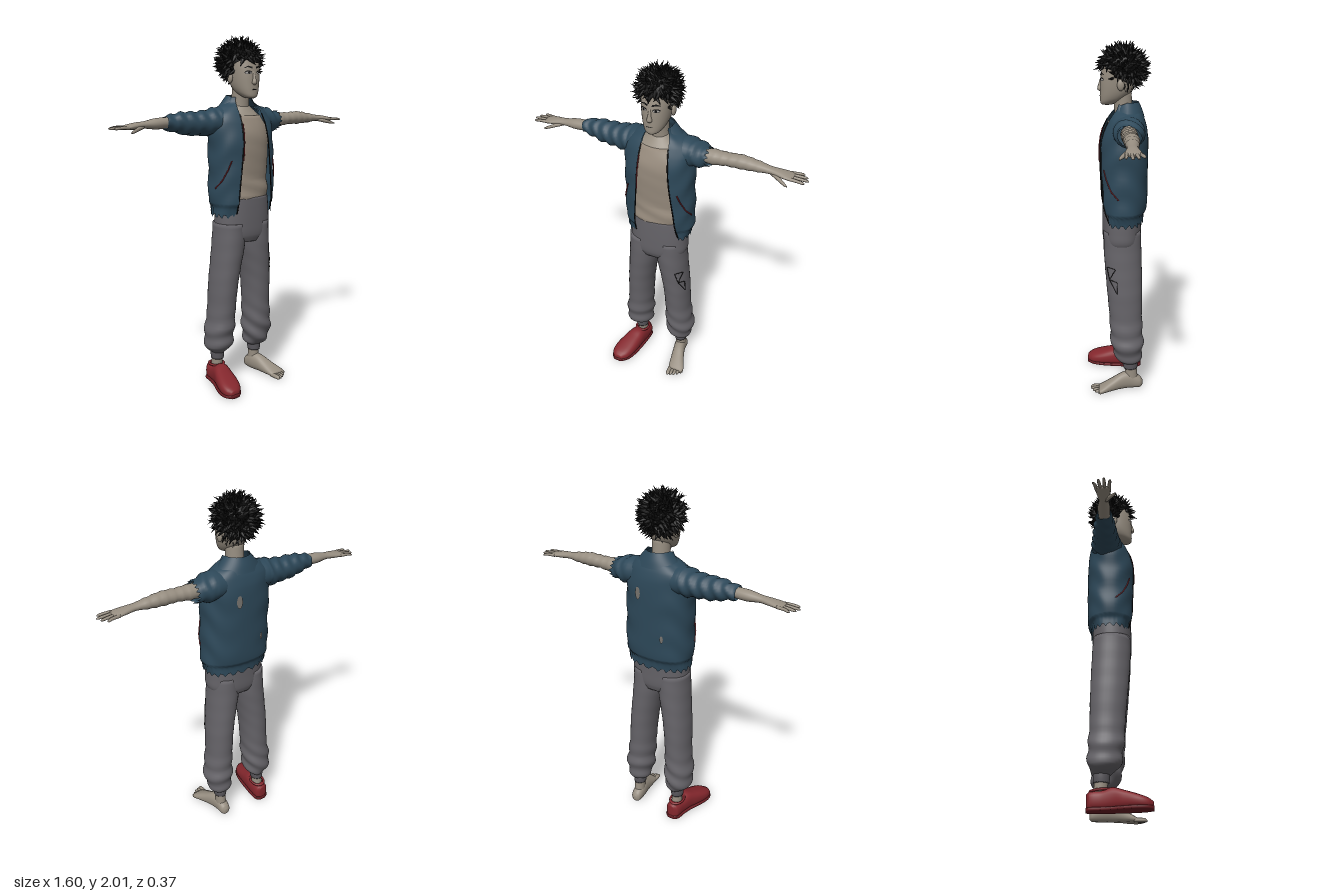
import * as THREE from 'three';
import { mergeGeometries } from 'three/addons/utils/BufferGeometryUtils.js';

const mat = (name, color, side = THREE.FrontSide) => Object.assign(new THREE.MeshStandardMaterial({ color, side }), { name });
const M = {
  skin: mat('skin', 0x978e81), shirt: mat('shirt beige', 0x978b7d), jacket: mat('jacket blue', 0x2d4859, THREE.DoubleSide),
  pants: mat('trouser grey', 0x656368), cuff: mat('cuff grey', 0x59575c), red: mat('shoe red', 0x84272d, THREE.DoubleSide),
  sole: mat('sole red', 0x6a1d23), black: mat('hair black', 0x0d0d0d, THREE.DoubleSide),
  hole: mat('worn cloth', 0x77736e, THREE.DoubleSide), eye: mat('eye white', 0xa8a5a2, THREE.DoubleSide),
};
const TAU = Math.PI * 2;
const sp = (v, p) => Math.sign(v) * Math.abs(v) ** (2 / p);

// Smoothly refine sections [t, centre1, centre2, radius1, radius2, ...]
function refine(rows, steps = 5) {
  rows = [...rows].sort((a, b) => a[0] - b[0]);
  const slope = (i, k) => {
    const a = rows[Math.max(i - 1, 0)], b = rows[Math.min(i + 1, rows.length - 1)];
    return (b[k] - a[k]) / (b[0] - a[0]);
  };
  const out = [];
  for (let i = 0; i < rows.length - 1; i++) {
    const a = rows[i], b = rows[i + 1], h = b[0] - a[0];
    for (let s = 0; s < steps; s++) {
      const u = s / steps, u2 = u * u, u3 = u2 * u;
      out.push(a.map((v, k) => k === 0 ? v + h * u : (2 * u3 - 3 * u2 + 1) * v + (u3 - 2 * u2 + u) * h * slope(i, k)
        + (3 * u2 - 2 * u3) * b[k] + (u3 - u2) * h * slope(i + 1, k)));
    }
  }
  out.push([...rows[rows.length - 1]]);
  return out;
}
function lookup(dense, t) {
  let i = 0;
  while (i < dense.length - 2 && dense[i + 1][0] < t) i++;
  const a = dense[i], b = dense[i + 1], u = THREE.MathUtils.clamp((t - a[0]) / (b[0] - a[0]), 0, 1);
  return a.map((v, k) => v + (b[k] - v) * u);
}
function ringPoint(r, th, p, axis = 'y', off = 0) {
  const s = sp(Math.sin(th), p), c = sp(Math.cos(th), p);
  const r1 = Math.max(r[3] + off, 0.001), r2 = Math.max(r[4] + off, 0.001);
  if (axis === 'y') return new THREE.Vector3(r[1] + r1 * s, r[0], r[2] + r2 * c);
  if (axis === 'x') return new THREE.Vector3(r[0], r[1] + r1 * c, r[2] + r2 * s);
  return new THREE.Vector3(r[1] - r1 * s, r[2] + r2 * c, r[0]);
}
const edgeAngle = (x, r, p) => Math.asin(Math.min(1, Math.abs(x - r[1]) / r[3]) ** (p / 2));

// Skin a surface over the sections; open ones leave a gap at the front between columns 5 and 6
function loft(name, material, dense, { axis = 'y', n = 28, p = 2, open = false, caps = !open, fold = null, tweak = null } = {}) {
  const pos = [], idx = [], w = open ? n + 1 : n;
  dense.forEach((r, i) => {
    const a0 = open ? edgeAngle(r[5], r, p) : 0, a1 = open ? TAU - edgeAngle(r[6], r, p) : TAU;
    for (let j = 0; j < w; j++) {
      const th = a0 + (a1 - a0) * j / n;
      const v = ringPoint(r, th, p, axis, fold ? fold(r[0], th) : 0);
      if (tweak) tweak(v, th, i / (dense.length - 1), j);
      pos.push(v.x, v.y, v.z);
    }
  });
  for (let i = 0; i < dense.length - 1; i++) for (let j = 0; j < n; j++) {
    const a = i * w + j, b = i * w + (j + 1) % w;
    idx.push(a, b, a + w, b, b + w, a + w);
  }
  if (caps) for (const i of [0, dense.length - 1]) {
    const c = pos.length / 3, r = dense[i], o = ringPoint([r[0], r[1], r[2], 0, 0], 0, 2, axis, 0);
    pos.push(o.x, o.y, o.z);
    for (let j = 0; j < n; j++) {
      const a = i * w + j, b = i * w + (j + 1) % w;
      i ? idx.push(c, a, b) : idx.push(c, b, a);
    }
  }
  const g = new THREE.BufferGeometry();
  g.setAttribute('position', new THREE.Float32BufferAttribute(pos, 3));
  g.setIndex(idx);
  g.computeVertexNormals();
  return named(name, g, material);
}
function named(name, g, material) {
  const m = new THREE.Mesh(g, material);
  m.name = name;
  return m;
}
// Thin plate laid on the front or back of an upright loft
function patch(name, material, dense, p, pts, side = 1, off = 0.004) {
  const g = new THREE.ShapeGeometry(new THREE.Shape(pts.map(q => new THREE.Vector2(...q)))), a = g.attributes.position;
  for (let i = 0; i < a.count; i++) {
    const r = lookup(dense, a.getY(i)), x = Math.min(1, Math.abs((a.getX(i) - r[1]) / r[3]));
    a.setZ(i, r[2] + side * (r[4] * (1 - x ** p) ** (1 / p) + off));
  }
  g.computeVertexNormals();
  return named(name, g, material);
}
const oval = (x, y, rx, ry, n = 12) => Array.from({ length: n }, (_, i) => [x + rx * Math.cos(i / n * TAU), y + ry * Math.sin(i / n * TAU)]);
const line = (name, material, pts, r = 0.003, closed = false) =>
  named(name, new THREE.TubeGeometry(new THREE.CatmullRomCurve3(pts, closed, 'catmullrom', 0), pts.length * 8, r, 5, closed), material);
function ball(name, material, pos, scale) {
  const m = named(name, new THREE.SphereGeometry(1, 18, 12), material);
  m.position.set(...pos);
  m.scale.set(...scale);
  return m;
}

function buildHead() {
  const g = new THREE.Group();
  g.name = 'head';
  const head = refine([[1.665, 0, 0.05, 0.02, 0.028], [1.675, 0, 0.043, 0.038, 0.043], [1.7, 0, 0.02, 0.057, 0.068], [1.74, 0, 0, 0.071, 0.088],
    [1.79, 0, -0.01, 0.079, 0.097], [1.84, 0, -0.017, 0.083, 0.098], [1.9, 0, -0.025, 0.08, 0.088], [1.945, 0, -0.03, 0.05, 0.06], [1.96, 0, -0.03, 0.02, 0.02]]);
  g.add(loft('face', M.skin, head, { p: 2.2, n: 32 }));
  g.add(loft('neck', M.skin, refine([[1.55, 0, -0.045, 0.062, 0.055], [1.62, 0, -0.04, 0.05, 0.05], [1.74, 0, -0.03, 0.05, 0.052]])));
  g.add(loft('nose', M.skin, refine([[1.736, 0, 0.085, 0.006, 0.006], [1.746, 0, 0.089, 0.015, 0.014], [1.77, 0, 0.086, 0.01, 0.013], [1.815, 0, 0.077, 0.007, 0.007]]), { n: 12 }));
  for (const s of [-1, 1]) {
    g.add(ball('ear', M.skin, [s * 0.083, 1.775, -0.022], [0.012, 0.03, 0.02]));
    g.add(patch('eyeOutline', M.black, head, 2.2, oval(s * 0.034, 1.803, 0.019, 0.01), 1, 0.002));
    g.add(patch('eyeWhite', M.eye, head, 2.2, oval(s * 0.034, 1.8015, 0.016, 0.006), 1, 0.0035));
    g.add(patch('iris', M.black, head, 2.2, oval(s * 0.033, 1.802, 0.006, 0.006), 1, 0.005));
    g.add(patch('eyebrow', M.black, head, 2.2, [[s * 0.012, 1.823], [s * 0.035, 1.829], [s * 0.058, 1.825], [s * 0.035, 1.838], [s * 0.013, 1.833]]));
  }
  g.add(patch('mouth', M.black, head, 2.2, oval(0, 1.712, 0.02, 0.0018), 1, 0.003));
  return g;
}

// Skull cap plus a seeded spread of curled tufts
function buildHair() {
  const g = new THREE.Group();
  g.name = 'hair';
  const cap = named('hairCap', new THREE.SphereGeometry(1, 28, 18, 0, TAU, 0, Math.PI * 0.62).rotateX(-0.55), M.black);
  cap.scale.set(0.1, 0.107, 0.115);
  cap.position.set(-0.004, 1.86, -0.035);
  g.add(cap);
  let seed = 7;
  const rnd = () => (seed = (seed * 16807) % 2147483647) / 2147483647;
  const tufts = [], up = new THREE.Vector3(0, 1, 0), count = 420;
  for (let i = 0; i < count; i++) {
    const y = 1 - 2 * (i + 0.5) / count, a = i * 2.39996, q = Math.sqrt(1 - y * y);
    const d = new THREE.Vector3(q * Math.cos(a), y, q * Math.sin(a));
    const at = new THREE.Vector3(d.x * 0.098 - 0.006, 1.86 + d.y * 0.1, -0.035 + d.z * 0.113);
    const tone = [rnd(), rnd(), rnd(), rnd()];
    if (at.y < 1.765 && at.z > -0.06 || at.z > 0.015 && at.y < 1.865 || at.z > -0.03 && at.y < 1.8) continue;
    const h = 0.05 + 0.022 * tone[0], bend = (tone[1] < 0.5 ? -1 : 1) * 9;
    const c = new THREE.ConeGeometry(0.017, h, 6, 4), v = c.attributes.position;
    for (let k = 0; k < v.count; k++) v.setX(k, v.getX(k) + bend * (v.getY(k) + h / 2) ** 2 * 0.7);
    d.x += (tone[2] - 0.5) * 0.9;
    d.z += (tone[3] - 0.5) * 0.9;
    if (at.z > 0.02 && at.y < 1.92) d.y -= 0.7;
    c.applyQuaternion(new THREE.Quaternion().setFromUnitVectors(up, d.normalize()));
    c.translate(at.x + d.x * 0.01, at.y + d.y * 0.01, at.z + d.z * 0.01);
    tufts.push(c);
  }
  const all = mergeGeometries(tufts);
  all.computeVertexNormals();
  g.add(named('curls', all, M.black));
  return g;
}

function buildTorso() {
  const g = new THREE.Group();
  g.name = 'torso';
  g.add(loft('chest', M.skin, refine([[1.48, 0, -0.042, 0.15, 0.106], [1.55, 0, -0.045, 0.14, 0.098], [1.595, 0, -0.05, 0.09, 0.075], [1.625, 0, -0.045, 0.052, 0.05]])));
  g.add(loft('shirt', M.shirt, refine([[1.1, 0.003, -0.035, 0.16, 0.108], [1.13, 0.003, -0.035, 0.165, 0.112], [1.22, 0, -0.035, 0.163, 0.106],
    [1.38, 0, -0.037, 0.168, 0.118], [1.48, 0, -0.04, 0.165, 0.118], [1.57, 0, -0.047, 0.125, 0.094]]),
  { p: 2.3, fold: (y, a) => 0.003 * Math.sin(y * 70 + 2 * Math.sin(a * 2)) * (y < 1.25 ? 1 : 0.2) }));

  // Open jacket body with gathered hem
  const body = refine([[1.02, 0.005, -0.037, 0.186, 0.113, 0.15, -0.1], [1.06, 0.005, -0.037, 0.19, 0.117, 0.148, -0.1], [1.09, 0.005, -0.038, 0.201, 0.132, 0.142, -0.1],
    [1.2, 0.005, -0.038, 0.2, 0.136, 0.13, -0.092], [1.35, 0.003, -0.037, 0.197, 0.138, 0.11, -0.08], [1.45, 0, -0.039, 0.198, 0.136, 0.1, -0.075],
    [1.53, 0, -0.046, 0.193, 0.124, 0.092, -0.072], [1.58, 0, -0.052, 0.18, 0.106, 0.085, -0.07], [1.615, 0, -0.055, 0.138, 0.088, 0.078, -0.068],
    [1.64, 0, -0.055, 0.09, 0.073, 0.066, -0.062], [1.67, 0, -0.055, 0.068, 0.064, 0.055, -0.053]]);
  const P = 2.3, onBody = (y, a, off = 0.004) => ringPoint(lookup(body, y), a, P, 'y', off);
  g.add(loft('jacketBody', M.jacket, body, { p: P, n: 56, open: true,
    fold: (y, a) => 0.004 * Math.sin(y * 38 + 2 * Math.sin(a * 3)) * Math.abs(Math.sin(a)) + (y < 1.08 ? 0.002 * Math.sin(a * 40) : 0),
    tweak: (v, a, u, j) => { if (u === 0) v.y += 0.012 * Math.sin(j * 1.9) - 0.004; } }));
  g.add(loft('collar', M.jacket, refine([[1.6, 0, -0.056, 0.142, 0.098, 0.085, -0.08], [1.64, 0, -0.056, 0.104, 0.085, 0.074, -0.07], [1.68, 0, -0.056, 0.07, 0.067, 0.055, -0.053]]),
    { n: 36, open: true, tweak: (v, a, u) => { v.y -= Math.max(0, Math.cos(a)) * 0.045 * (1 - 0.4 * u); } }));
  for (const s of [1, -1]) {
    const edge = [];
    for (let y = 1.03; y < 1.6; y += 0.05) {
      const r = lookup(body, y);
      edge.push(onBody(y, s * edgeAngle(r[s > 0 ? 5 : 6], r, P), 0.001));
    }
    g.add(line('zipper', M.black, edge, 0.0035));
    if (s < 0) g.add(line('zipperTrim', M.red, edge.slice(6, 11).map(v => v.clone().add(new THREE.Vector3(0.004, 0, 0.003))), 0.003));
    g.add(line('pocketTrim', M.red, [[1.33, 0.75], [1.28, 0.88], [1.22, 1.1], [1.175, 1.4]].map(([y, a]) => onBody(y, s * a)), 0.0035));
  }
  // Worn spots
  g.add(patch('backHole', M.hole, body, P, oval(0.06, 1.46, 0.017, 0.036), -1, 0.006));
  g.add(patch('lowerBackHole', M.hole, body, P, oval(-0.085, 1.22, 0.009, 0.022), -1, 0.007));

  // Sleeves: a torn short one on the left, a pushed-up one on the right
  const shoulder = [[0.09, 1.54, -0.06, 0.075, 0.085], [0.15, 1.54, -0.062, 0.077, 0.088], [0.2, 1.535, -0.063, 0.073, 0.083]];
  const short = [...shoulder, [0.24, 1.532, -0.063, 0.062, 0.072], [0.272, 1.53, -0.063, 0.054, 0.06]];
  const long = [...shoulder, [0.25, 1.533, -0.065, 0.066, 0.074], [0.3, 1.533, -0.067, 0.063, 0.068], [0.36, 1.536, -0.068, 0.061, 0.06],
    [0.4, 1.54, -0.069, 0.052, 0.054], [0.43, 1.54, -0.069, 0.046, 0.047], [0.475, 1.541, -0.069, 0.036, 0.041]];
  const crease = (x, a) => 0.0045 * Math.sin(x * 95 + 2 * Math.sin(a * 2)) * (Math.abs(x) > 0.17 ? 1 : 0.2);
  g.add(loft('tornSleeve', M.jacket, refine(short), { axis: 'x', caps: false, fold: crease,
    tweak: (v, a, u, j) => { if (u === 1) v.x += j % 2 ? 0.012 : -0.012; } }));
  g.add(loft('longSleeve', M.jacket, refine(long.map(r => [-r[0], ...r.slice(1)]), 7), { axis: 'x', caps: false, fold: crease }));
  return g;
}

function buildArm(s) {
  const g = new THREE.Group();
  g.name = s > 0 ? 'leftArm' : 'rightArm';
  const add = (name, rows, n, fold) => g.add(loft(name, M.skin, refine(rows.map(r => [s * r[0], ...r.slice(1)])), { axis: 'x', n, fold }));
  const k = s > 0 ? 1 : 0.78;
  add('arm', [[0.18, 1.535, -0.062, 0.04 * k, 0.042 * k], [0.3, 1.536, -0.063, 0.041 * k, 0.043 * k], [0.37, 1.54, -0.064, 0.035 * k, 0.04 * k], [0.45, 1.542, -0.066, 0.037 * k, 0.04 * k],
    [0.53, 1.539, -0.066, 0.029, 0.034], [0.6, 1.536, -0.064, 0.019, 0.026], [0.65, 1.532, -0.064, 0.018, 0.033], [0.695, 1.528, -0.064, 0.014, 0.041],
    [0.725, 1.525, -0.065, 0.009, 0.038]], 20, x => s > 0 && x < 0.55 ? 0.002 * Math.sin(x * 130) : 0);
  const fingers = [[-0.097, -0.112, 0.768], [-0.076, -0.086, 0.79], [-0.055, -0.058, 0.8], [-0.034, -0.028, 0.786]];
  for (const [z0, z1, tip] of fingers)
    add('finger', [[0.695, 1.527, z0, 0.009, 0.0095], [0.74, 1.527, (z0 + z1) / 2, 0.008, 0.009], [tip - 0.008, 1.524, z1, 0.006, 0.007], [tip, 1.523, z1, 0.002, 0.002]], 8);
  add('thumb', [[0.61, 1.527, -0.052, 0.01, 0.012], [0.65, 1.518, -0.032, 0.011, 0.013], [0.69, 1.507, -0.008, 0.008, 0.009], [0.708, 1.502, 0, 0.003, 0.003]], 10);
  return g;
}

function buildLegs() {
  const g = new THREE.Group();
  g.name = 'legs';
  g.add(loft('hips', M.pants, refine([[0.86, 0.002, -0.032, 0.13, 0.095], [0.9, 0.003, -0.031, 0.168, 0.108], [0.97, 0.004, -0.031, 0.171, 0.111],
    [1.06, 0.004, -0.033, 0.167, 0.112], [1.115, 0.003, -0.035, 0.163, 0.112]]), { p: 2.3, n: 36 }));
  for (const s of [1, -1]) {
    const d = s > 0 ? -0.012 : 0, dx = s > 0 ? -0.008 : 0;
    const leg = refine([[0.185 + d, 0.142, -0.078, 0.04, 0.045], [0.205 + d, 0.142, -0.073, 0.062, 0.065], [0.235, 0.143, -0.066, 0.076, 0.083], [0.3, 0.143, -0.061, 0.084, 0.092],
      [0.36, 0.138, -0.056, 0.08, 0.094], [0.46, 0.13, -0.052, 0.075, 0.094], [0.6, 0.122, -0.046, 0.077, 0.1], [0.72, 0.108, -0.04, 0.081, 0.104],
      [0.85, 0.091, -0.034, 0.088, 0.107], [0.97, 0.087, -0.031, 0.084, 0.105]].map(r => [r[0], s * (r[1] + dx), ...r.slice(2)]));
    g.add(loft('trouserLeg', M.pants, leg, { n: 32, p: 2.1,
      fold: (y, a) => 0.006 * Math.sin(y * 60 + s * 2 * Math.sin(a + 0.6) + a) * THREE.MathUtils.clamp((0.5 - y) / 0.2, 0.1, 1) }));
    const x = s * (0.142 + dx);
    g.add(loft('trouserCuff', M.cuff, refine([[0.145 + d, x, -0.08, 0.036, 0.041], [0.17 + d, x, -0.08, 0.038, 0.043], [0.2 + d, x, -0.078, 0.038, 0.043]]), { fold: (y, a) => 0.0012 * Math.sin(a * 14) }));
    g.add(loft('ankle', M.skin, refine([[0.035, x, -0.085, 0.033, 0.042], [0.09, x, -0.085, 0.031, 0.036], [0.17, x, -0.08, 0.031, 0.034]])));
    // Stitched outline on the left thigh
    if (s > 0) for (const tri of [[[0.77, 0.55], [0.765, 1.15], [0.7, 0.7]], [[0.7, 0.7], [0.69, 1.2], [0.62, 1.15]]])
      g.add(line('patchOutline', M.black, tri.map(([y, a]) => ringPoint(lookup(leg, y), a, 2.1, 'y', 0.004)), 0.002, true));
  }
  return g;
}

function buildFeet() {
  const g = new THREE.Group();
  g.name = 'feet';
  const flat = v => { v.y = Math.max(v.y, 0.004); };
  g.add(loft('bareFoot', M.skin, refine([[-0.152, 0.132, 0.032, 0.012, 0.016], [-0.138, 0.132, 0.036, 0.029, 0.033], [-0.08, 0.134, 0.052, 0.036, 0.052], [-0.03, 0.144, 0.05, 0.038, 0.05],
    [0.03, 0.16, 0.034, 0.044, 0.036], [0.08, 0.175, 0.021, 0.05, 0.023], [0.108, 0.18, 0.015, 0.046, 0.014]]), { axis: 'z', p: 2.2, tweak: flat }));
  for (let i = 0; i < 5; i++) {
    const x = 0.144 + i * 0.0185, tip = 0.155 - 0.004 * i * i * 0.7, r = i ? 0.0095 : 0.0125;
    g.add(loft('toe', M.skin, refine([[0.085, x - 0.003, 0.014, r, r], [tip - 0.012, x, 0.0125, r, r], [tip, x, 0.01, r * 0.4, r * 0.4]]), { axis: 'z', n: 10, tweak: flat }));
  }
  const shoe = [[-0.154, -0.142, 0.05, 0.02, 0.04], [-0.138, -0.143, 0.052, 0.041, 0.05], [-0.08, -0.147, 0.053, 0.047, 0.053], [-0.025, -0.156, 0.061, 0.052, 0.061],
    [0.03, -0.17, 0.053, 0.06, 0.053], [0.1, -0.187, 0.041, 0.064, 0.041], [0.15, -0.196, 0.031, 0.052, 0.031], [0.178, -0.2, 0.025, 0.025, 0.018]];
  g.add(loft('clog', M.red, refine(shoe), { axis: 'z', p: 2.5, tweak: flat }));
  g.add(loft('clogSole', M.sole, refine(shoe.map(r => [r[0] * 1.015, r[1], 0.011, r[3] + 0.003, 0.011])), { axis: 'z', p: 4 }));
  const rim = named('clogRim', new THREE.TorusGeometry(0.04, 0.007, 8, 24).rotateX(Math.PI / 2 - 0.12), M.red);
  rim.scale.z = 1.25;
  rim.position.set(-0.145, 0.108, -0.085);
  g.add(rim);
  return g;
}

export function createModel() {
  const model = new THREE.Group();
  model.name = 'youngManInJacket';
  model.add(buildHead(), buildHair(), buildTorso(), buildArm(1), buildArm(-1), buildLegs(), buildFeet());
  return model;
}
